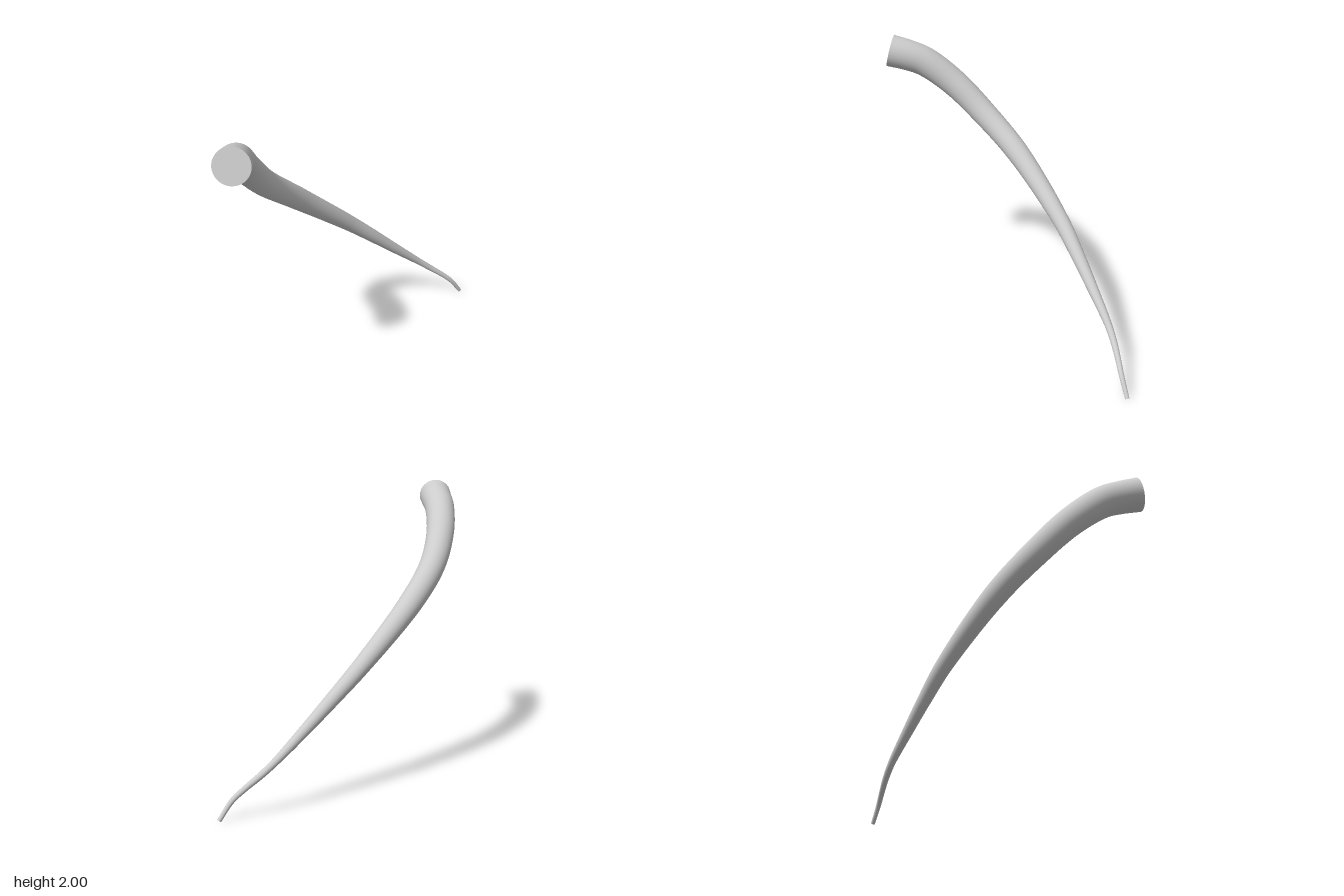
import * as THREE from 'three';
import { mergeVertices } from 'three/addons/utils/BufferGeometryUtils.js';

// Centreline stations: x, y, z, radius
const STATIONS = [
  [-0.865, 1.89, 0.64, 0.114],
  [-0.838, 1.858, 0.52, 0.109],
  [-0.815, 1.81, 0.4, 0.105],
  [-0.75, 1.66, 0.2, 0.097],
  [-0.625, 1.455, 0, 0.089],
  [-0.4, 1.225, -0.2, 0.08],
  [0, 0.87, -0.42, 0.058],
  [0.2, 0.695, -0.495, 0.048],
  [0.4, 0.52, -0.56, 0.037],
  [0.6, 0.35, -0.618, 0.025],
  [0.7, 0.27, -0.632, 0.022],
  [0.8, 0.195, -0.635, 0.019],
  [0.88, 0.125, -0.637, 0.017],
  [0.963, 0.012, -0.654, 0.014],
];
const RINGS = 120;
const SIDES = 40;

export function createModel() {
  const group = new THREE.Group();
  group.name = 'taperedHorn';
  const material = new THREE.MeshStandardMaterial({ color: 0xcccccc });
  const curve = new THREE.CatmullRomCurve3(STATIONS.map(([x, y, z]) => new THREE.Vector3(x, y, z)));

  // Radius at a fraction of the curve's length
  const radiusAt = (u) => {
    const s = curve.getUtoTmapping(u) * (STATIONS.length - 1);
    const i = Math.min(Math.floor(s), STATIONS.length - 2);
    return THREE.MathUtils.lerp(STATIONS[i][3], STATIONS[i + 1][3], s - i);
  };

  // Shaft: a unit tube whose rings are scaled to the local radius
  const tube = new THREE.TubeGeometry(curve, RINGS, 1, SIDES);
  const pos = tube.attributes.position;
  const v = new THREE.Vector3();
  for (let i = 0; i <= RINGS; i++) {
    const centre = curve.getPointAt(i / RINGS);
    const r = radiusAt(i / RINGS);
    for (let j = 0; j <= SIDES; j++) {
      const k = i * (SIDES + 1) + j;
      v.fromBufferAttribute(pos, k).sub(centre).multiplyScalar(r).add(centre);
      pos.setXYZ(k, v.x, v.y, v.z);
    }
  }

  // Flat end caps: a fan across an end ring
  const addCap = (name, ring) => {
    const points = [curve.getPointAt(ring / RINGS)];
    for (let j = 0; j < SIDES; j++) {
      points.push(new THREE.Vector3().fromBufferAttribute(pos, ring * (SIDES + 1) + j));
    }
    const outward = curve.getTangentAt(ring / RINGS).multiplyScalar(ring === 0 ? -1 : 1);
    const turn = points[1].clone().sub(points[0]).cross(points[2].clone().sub(points[0]));
    const flip = turn.dot(outward) < 0;
    const index = [];
    for (let j = 0; j < SIDES; j++) {
      const a = 1 + j;
      const b = 1 + ((j + 1) % SIDES);
      index.push(0, ...(flip ? [b, a] : [a, b]));
    }
    const cap = new THREE.BufferGeometry().setFromPoints(points);
    cap.setIndex(index);
    cap.computeVertexNormals();
    const mesh = new THREE.Mesh(cap, material);
    mesh.name = name;
    group.add(mesh);
  };
  addCap('baseCap', 0);
  addCap('tipCap', RINGS);

  // Weld the seam so the shaft shades smoothly all round
  tube.deleteAttribute('uv');
  tube.deleteAttribute('normal');
  const shaftGeometry = mergeVertices(tube, 1e-5);
  shaftGeometry.computeVertexNormals();
  const shaft = new THREE.Mesh(shaftGeometry, material);
  shaft.name = 'shaft';
  group.add(shaft);
  return group;
}
